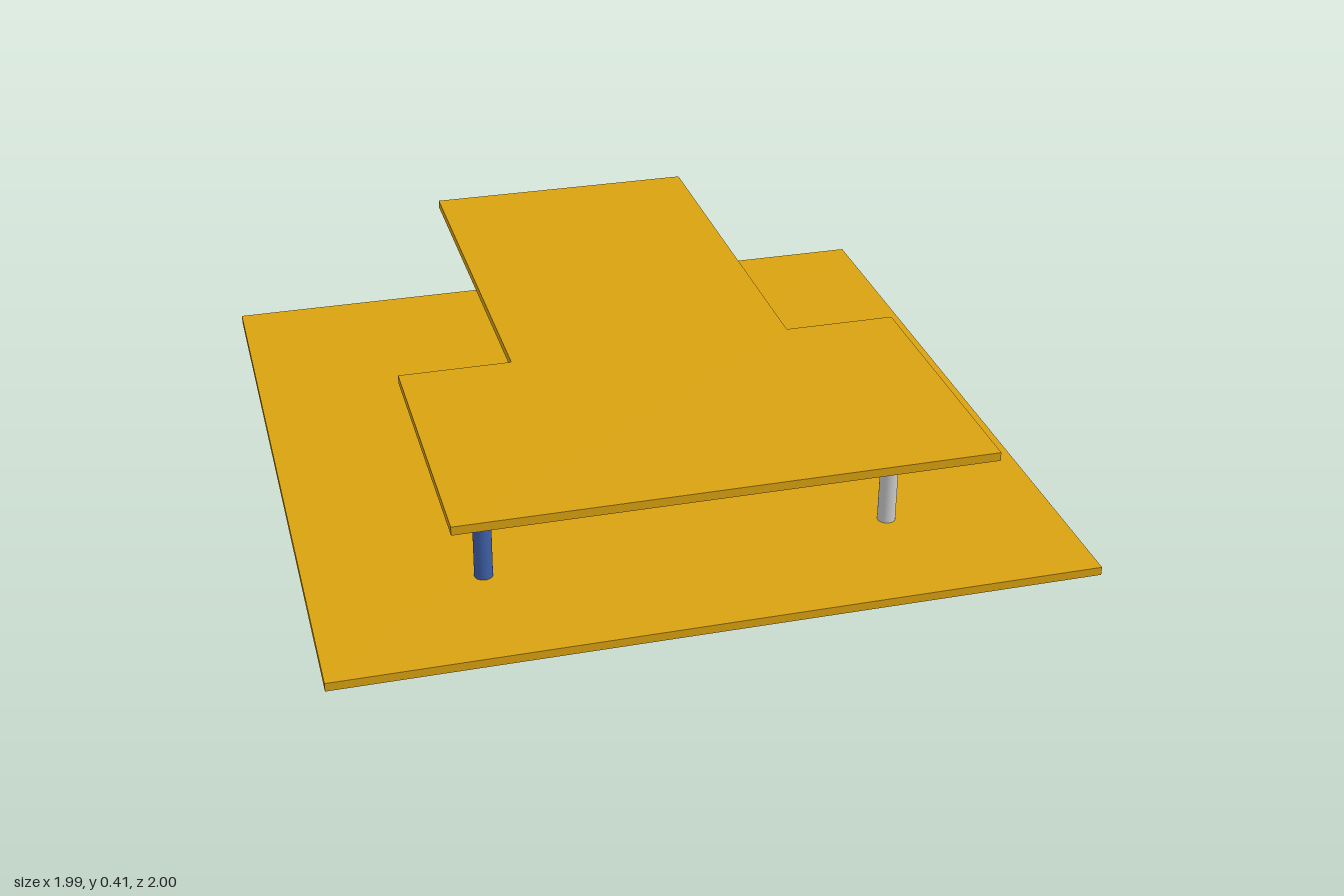
import * as THREE from 'three';

const material = (color) => new THREE.MeshStandardMaterial({ color });

export function createModel() {
  const model = new THREE.Group();
  const yellow = material(0xd9a210);
  const thickness = 0.023;
  const plateBottom = 0.391;

  const add = (name, geometry, mat, x, y, z) => {
    const mesh = new THREE.Mesh(geometry, mat);
    mesh.name = name;
    mesh.position.set(x, y, z);
    model.add(mesh);
    return mesh;
  };

  // Square ground slab
  add('baseSlab', new THREE.BoxGeometry(1.99, thickness, 1.99), yellow, 0, thickness / 2, -0.005);

  // T-shaped upper slab, drawn with shape y = -z and laid flat
  const outline = [
    [-0.68, -1], [0.68, -1], [0.68, -0.24], [0.38, -0.24],
    [0.38, 0.847], [-0.38, 0.847], [-0.38, -0.24], [-0.68, -0.24],
  ].map(([x, y]) => new THREE.Vector2(x, y));
  const slab = new THREE.ExtrudeGeometry(new THREE.Shape(outline), { depth: thickness, bevelEnabled: false });
  slab.rotateX(-Math.PI / 2);
  add('upperSlab', slab, yellow, 0, plateBottom, 0);

  // Two round posts between the slabs
  const height = plateBottom - thickness;
  const post = new THREE.CylinderGeometry(0.024, 0.024, height, 32);
  const postY = thickness + height / 2;
  add('rightPost', post, material(0x3f5fa8), -0.543, postY, 0.63);
  add('leftPost', post, material(0xcccccc), 0.543, postY, 0.63);

  return model;
}
